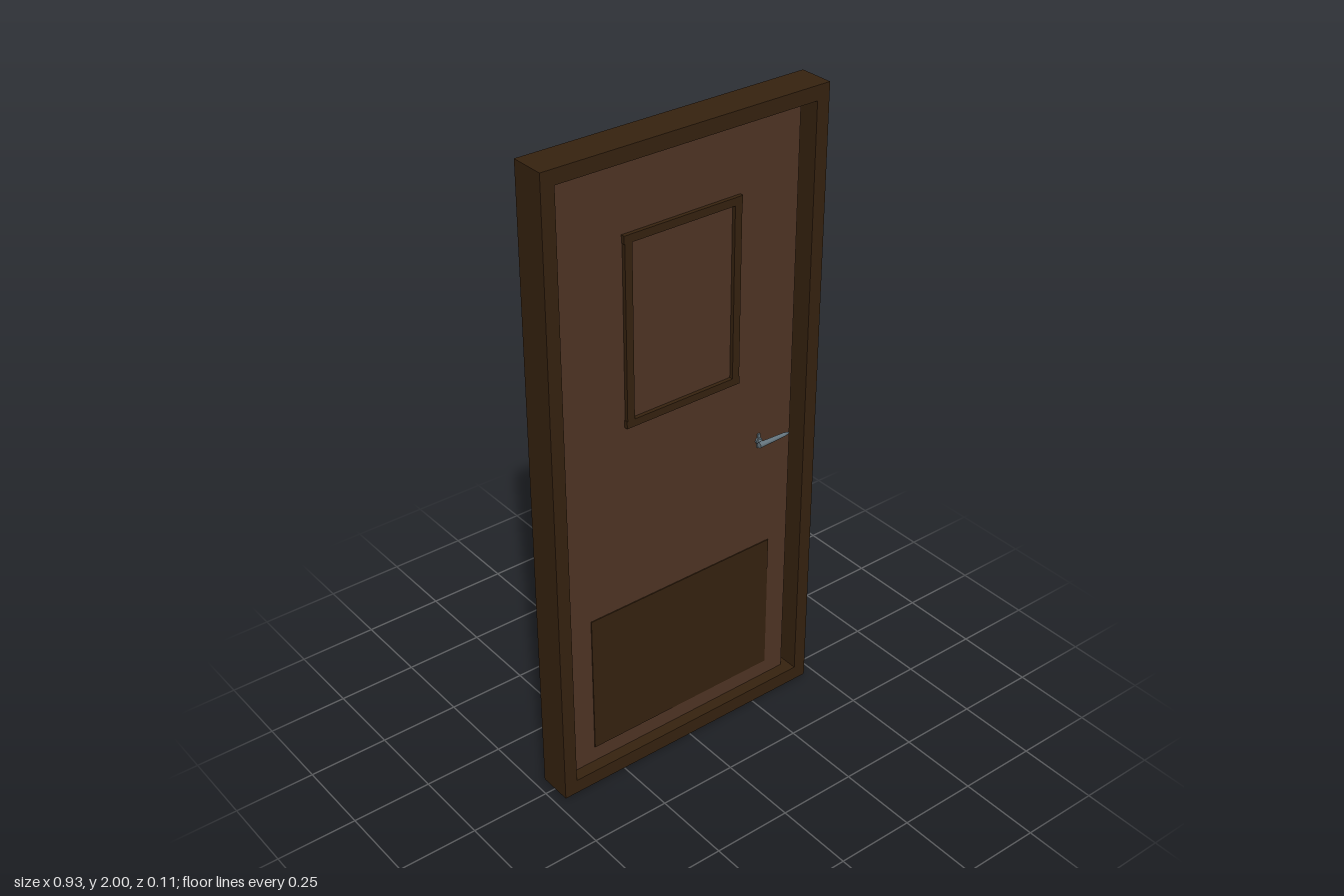
import * as THREE from 'three';

export function createModel() {
  const door = new THREE.Group();
  door.name = 'door';

  const material = (name, color) => {
    const m = new THREE.MeshStandardMaterial({ color });
    m.name = name;
    return m;
  };
  const wood = material('brown wood', 0x4f3424);
  const darkWood = material('dark brown wood', 0x36220f);
  const metal = material('grey metal', 0x64747d);

  const add = (name, geometry, mat, x, y, z) => {
    const mesh = new THREE.Mesh(geometry, mat);
    mesh.name = name;
    mesh.position.set(x, y, z);
    door.add(mesh);
    return mesh;
  };
  // Box given by its limits on each axis
  const box = (name, mat, [x0, x1], [y0, y1], [z0, z1]) =>
    add(name, new THREE.BoxGeometry(x1 - x0, y1 - y0, z1 - z0), mat,
      (x0 + x1) / 2, (y0 + y1) / 2, (z0 + z1) / 2);

  // Outer frame: sill, lintel and two jambs
  const depth = [-0.054, 0.054];
  box('sill', darkWood, [-0.466, 0.466], [0, 0.047], depth);
  box('lintel', darkWood, [-0.466, 0.466], [1.956, 2], depth);
  box('rightJamb', darkWood, [-0.466, -0.424], [0.047, 1.956], depth);
  box('leftJamb', darkWood, [0.424, 0.466], [0.047, 1.956], depth);

  // Door leaf, with a narrow gap to the jambs
  const face = 0.016;
  box('doorLeaf', wood, [-0.4, 0.4], [0.047, 1.947], [-face, face]);

  // Kick plate
  box('kickPlate', darkWood, [-0.33, 0.328], [0.1, 0.565], [face, face + 0.003]);

  // Raised moulding around the upper panel
  const raised = [face, face + 0.012];
  box('mouldingTop', darkWood, [-0.199, 0.195], [1.717, 1.741], raised);
  box('mouldingBottom', darkWood, [-0.199, 0.195], [1.164, 1.187], raised);
  box('mouldingRight', darkWood, [-0.197, -0.173], [1.187, 1.717], raised);
  box('mouldingLeft', darkWood, [0.169, 0.193], [1.187, 1.717], raised);

  // Lever handle: rose, spindle, lever and end knob
  const rod = (r0, r1, length) => new THREE.CylinderGeometry(r0, r1, length, 12);
  const y = 0.936;
  add('handleRose', rod(0.011, 0.011, 0.006), metal, 0.28, y, face + 0.003).rotation.x = Math.PI / 2;
  box('handlePlate', metal, [0.275, 0.285], [y - 0.023, y + 0.023], [face, face + 0.005]);
  add('handleSpindle', rod(0.006, 0.006, 0.026), metal, 0.28, y, face + 0.013).rotation.x = Math.PI / 2;
  add('handleLever', rod(0.009, 0.006, 0.096), metal, 0.312, y, face + 0.024).rotation.z = Math.PI / 2;
  add('handleTip', rod(0.006, 0.003, 0.016), metal, 0.368, y, face + 0.024).rotation.z = Math.PI / 2;

  return door;
}
